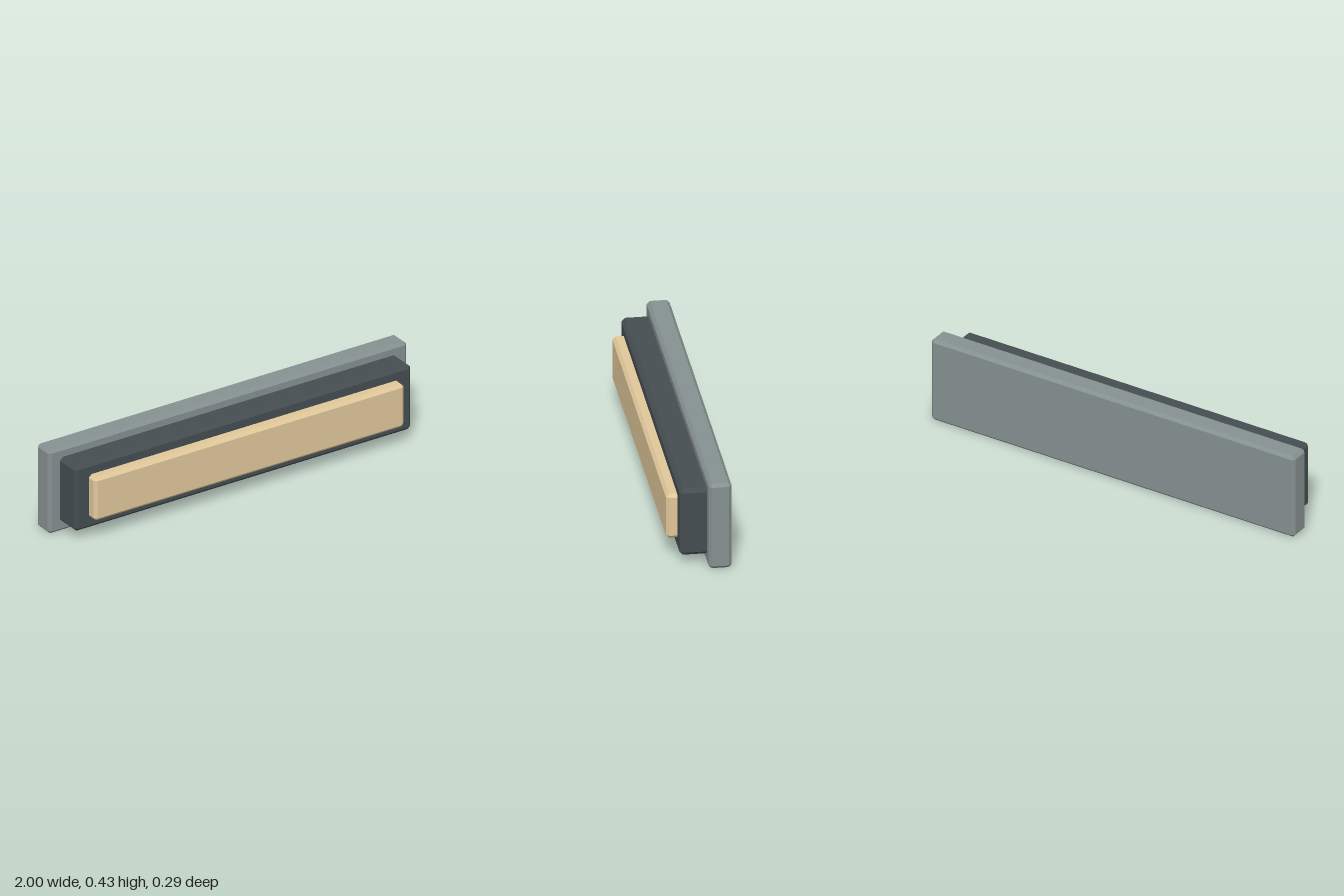
import * as THREE from 'three';
import { ConvexGeometry } from 'three/addons/geometries/ConvexGeometry.js';

// Box with every edge cut at 45 degrees and small triangular corners
function chamferedBox(name, color, width, [y0, y1], [z0, z1], cut) {
  const half = new THREE.Vector3(width / 2, (y1 - y0) / 2, (z1 - z0) / 2);
  const points = [];
  for (const sx of [-1, 1]) for (const sy of [-1, 1]) for (const sz of [-1, 1]) {
    for (const axis of [0, 1, 2]) {
      const p = half.clone().subScalar(cut);
      p.setComponent(axis, half.getComponent(axis));
      points.push(p.multiply(new THREE.Vector3(sx, sy, sz)));
    }
  }
  const material = new THREE.MeshStandardMaterial({ color, flatShading: true });
  const mesh = new THREE.Mesh(new ConvexGeometry(points), material);
  mesh.position.set(0, (y0 + y1) / 2, (z0 + z1) / 2);
  mesh.name = name;
  return mesh;
}

export function createModel() {
  const group = new THREE.Group();
  group.name = 'wallLight';
  group.add(
    // Wide plate at the back
    chamferedBox('backPlate', 0x859090, 2, [0, 0.434], [-0.144, -0.036], 0.015),
    // Dark housing, set into the plate
    chamferedBox('housing', 0x454d51, 1.878, [0.048, 0.386], [-0.079, 0.091], 0.017),
    // Pale front panel, set into the housing
    chamferedBox('frontPanel', 0xe0c79a, 1.728, [0.105, 0.329], [0.06, 0.144], 0.015),
  );
  return group;
}
